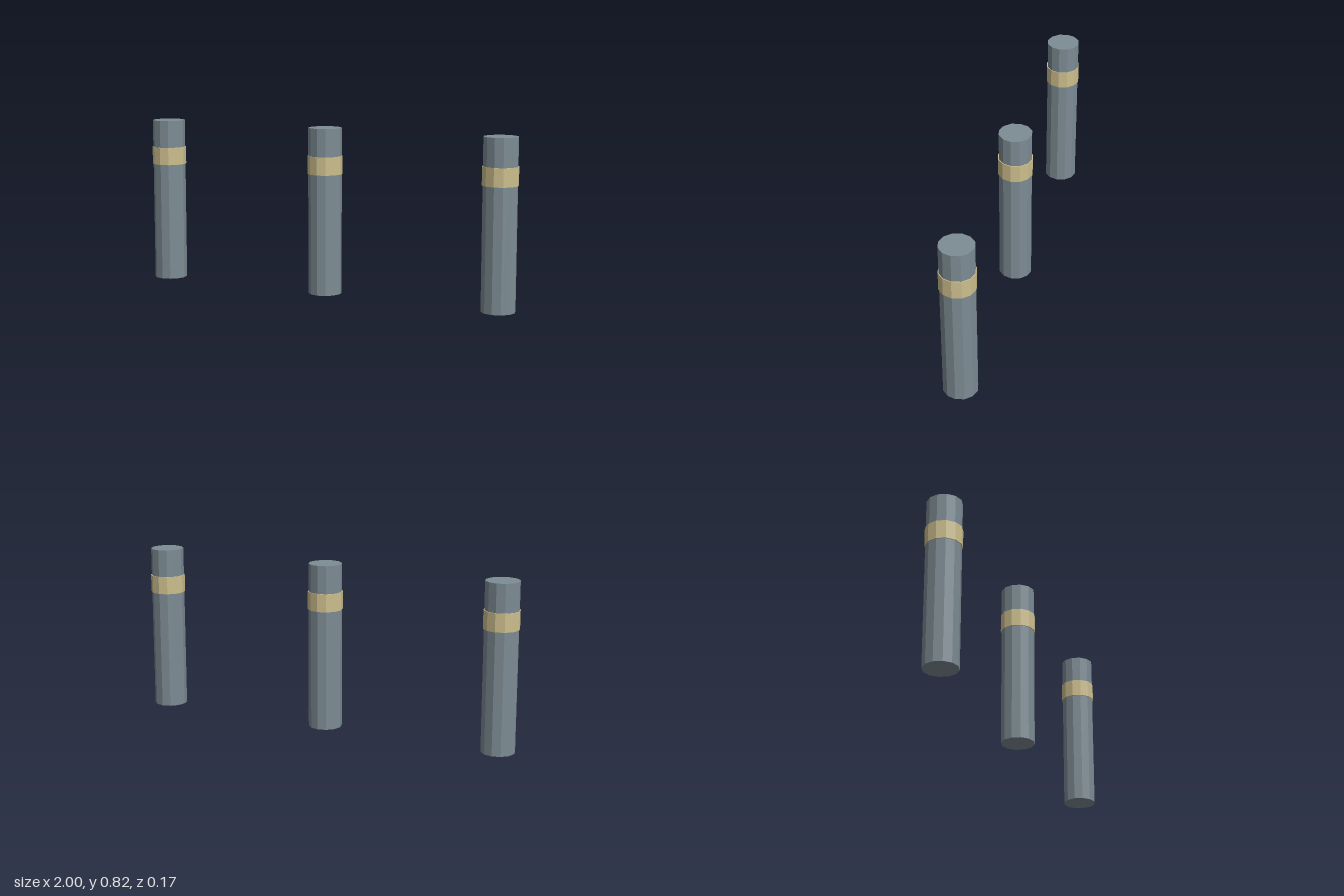
import * as THREE from 'three';

const SIDES = 12;
const HEIGHT = 0.822;
const SPACING = 0.9135;

export function createModel() {
  const steel = new THREE.MeshStandardMaterial({ color: 0x7d8c94, flatShading: true });
  steel.name = 'greySteel';
  const sand = new THREE.MeshStandardMaterial({ color: 0xcdbf8e, flatShading: true });
  sand.name = 'paleYellow';

  // Shared shapes: the post and its slightly wider band
  const postGeometry = new THREE.CylinderGeometry(0.0825, 0.0825, HEIGHT, SIDES);
  const bandGeometry = new THREE.CylinderGeometry(0.0865, 0.0865, 0.089, SIDES);

  const model = new THREE.Group();
  model.name = 'bollardRow';

  // Three equal bollards in a row
  ['right', 'middle', 'left'].forEach((side, i) => {
    const bollard = new THREE.Group();
    bollard.name = `${side}Bollard`;
    bollard.position.x = (i - 1) * SPACING;

    const post = new THREE.Mesh(postGeometry, steel);
    post.name = 'post';
    post.position.y = HEIGHT / 2;

    const band = new THREE.Mesh(bandGeometry, sand);
    band.name = 'reflectiveBand';
    band.position.y = 0.64;

    bollard.add(post, band);
    model.add(bollard);
  });

  return model;
}
